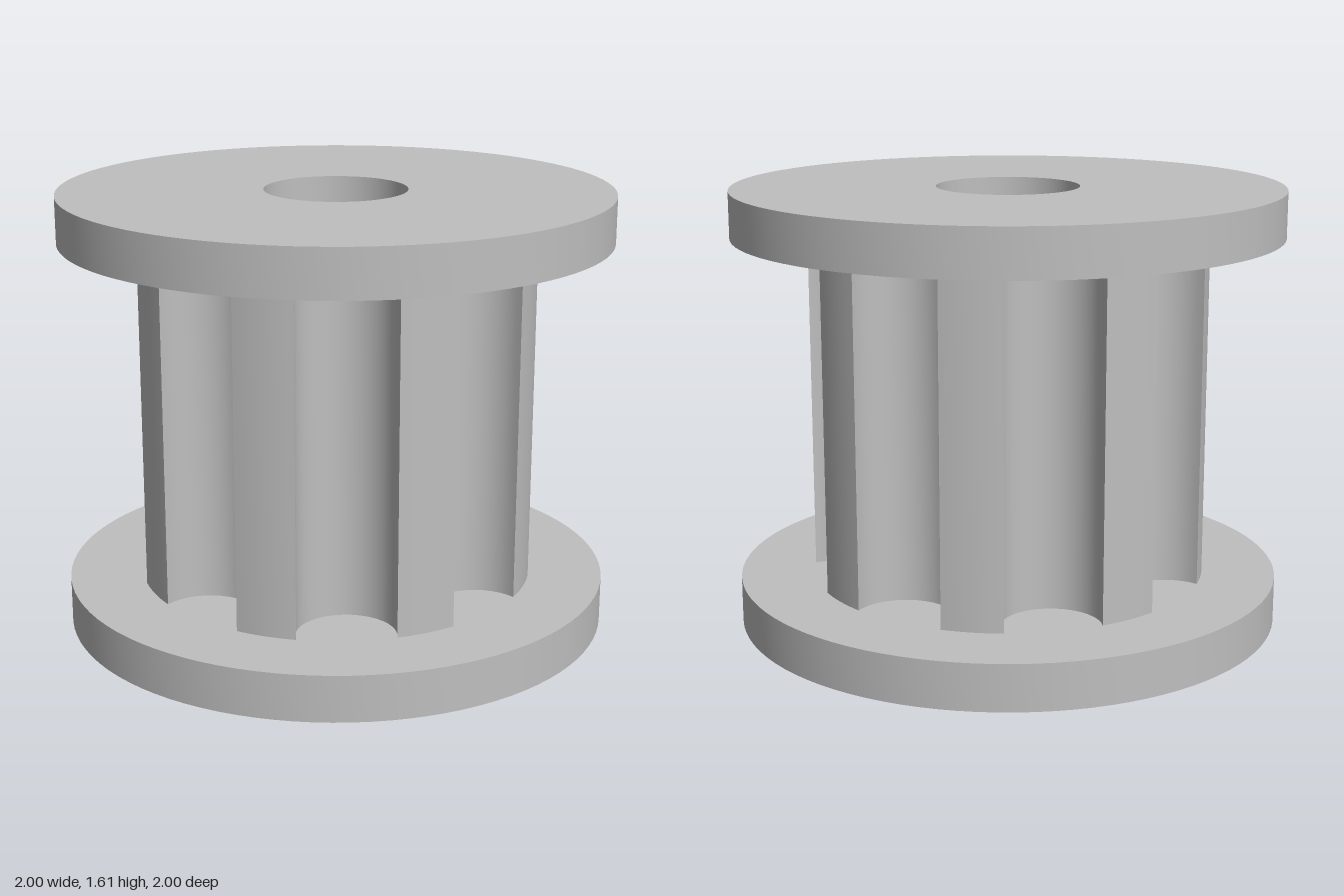
import * as THREE from 'three';
import { toCreasedNormals } from 'three/addons/utils/BufferGeometryUtils.js';

const HEIGHT = 1.605, FLANGE = 0.17, BORE = 0.26;
const GROOVES = 8, TIP = 0.73;            // tooth count and tip radius
const GROOVE_C = 0.68, GROOVE_R = 0.177;  // groove centre distance and radius

// Extrude a shape with the central bore upward from y0 to y1
function boredPart(name, shape, y0, y1, material) {
  const hole = new THREE.Path();
  hole.absarc(0, 0, BORE, 0, Math.PI * 2, true);
  shape.holes.push(hole);
  const extruded = new THREE.ExtrudeGeometry(shape, { depth: y1 - y0, bevelEnabled: false, curveSegments: 48 });
  extruded.rotateX(-Math.PI / 2);
  extruded.translate(0, y0, 0);
  const mesh = new THREE.Mesh(toCreasedNormals(extruded, Math.PI / 7), material);
  mesh.name = name;
  return mesh;
}

function disc() {
  return new THREE.Shape().absarc(0, 0, 1, 0, Math.PI * 2, false);
}

// Toothed outline: a round groove, then the arc of a tooth tip, repeated
function toothedOutline() {
  const pts = [];
  const step = (Math.PI * 2) / GROOVES;
  const half = Math.acos((TIP ** 2 + GROOVE_C ** 2 - GROOVE_R ** 2) / (2 * TIP * GROOVE_C));
  const start = Math.atan2(-TIP * Math.sin(half), TIP * Math.cos(half) - GROOVE_C);
  const sweep = 2 * Math.PI + 2 * start; // passes through the inner side of the groove
  for (let i = 0; i < GROOVES; i++) {
    const mid = i * step;
    const c = Math.cos(mid), s = Math.sin(mid);
    for (let k = 0; k <= 20; k++) {
      const a = start - (sweep * k) / 20;
      const u = GROOVE_C + GROOVE_R * Math.cos(a), v = GROOVE_R * Math.sin(a);
      pts.push(new THREE.Vector2(u * c - v * s, u * s + v * c));
    }
    for (let k = 1; k < 6; k++) {
      const a = mid + half + ((step - 2 * half) * k) / 6;
      pts.push(new THREE.Vector2(TIP * Math.cos(a), TIP * Math.sin(a)));
    }
  }
  return new THREE.Shape(pts);
}

export function createModel() {
  const grey = new THREE.MeshStandardMaterial({ color: 0xbfbfbf });
  grey.name = 'light grey';
  const group = new THREE.Group();
  group.name = 'timingPulley';
  group.add(
    boredPart('lowerFlange', disc(), 0, FLANGE, grey),
    boredPart('toothedCore', toothedOutline(), FLANGE, HEIGHT - FLANGE, grey),
    boredPart('upperFlange', disc(), HEIGHT - FLANGE, HEIGHT, grey)
  );
  return group;
}
